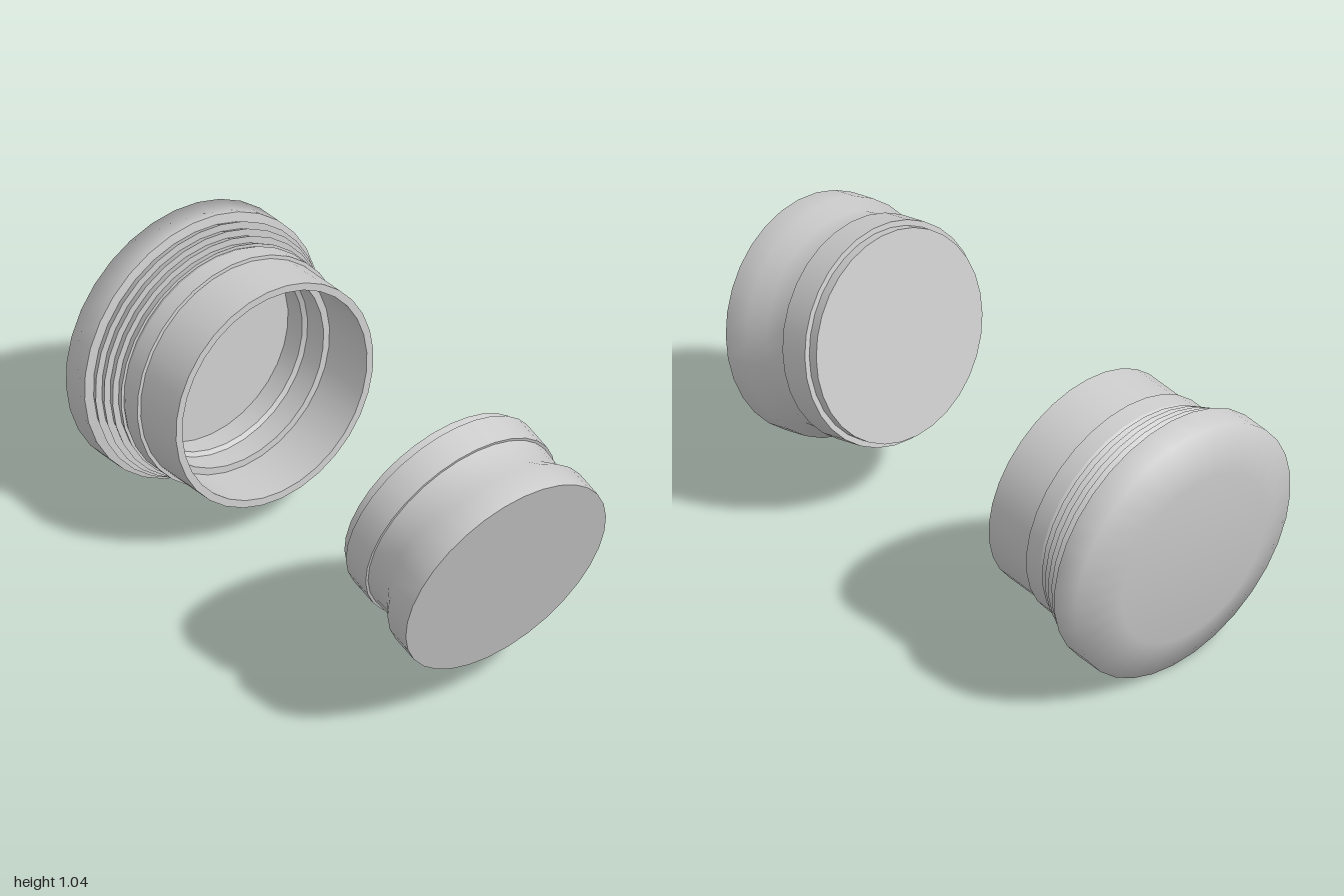
import * as THREE from 'three';

const SEGMENTS = 32;
const grey = new THREE.MeshStandardMaterial({ color: 0xcccccc });
grey.name = 'plain grey';

// Turned surface from [radius, distance along axis] points; smooth within one run
function turned(name, points) {
  const profile = points.map(([r, s]) => new THREE.Vector2(r, s));
  const mesh = new THREE.Mesh(new THREE.LatheGeometry(profile, SEGMENTS), grey);
  mesh.name = name;
  return mesh;
}

// One turned surface per straight step, so every edge stays sharp
function stepped(name, points) {
  const group = new THREE.Group();
  group.name = name;
  for (let i = 0; i < points.length - 1; i++) {
    group.add(turned(`${name}${i + 1}`, [points[i], points[i + 1]]));
  }
  return group;
}

// Cup: rounded base, flared ribs, sleeve and stepped bore
function createCup() {
  const cup = new THREE.Group();
  cup.name = 'cup';
  cup.add(turned('roundedBase', [[0, 0], [0.33, 0], [0.495, 0.055], [0.495, 0.16]]));

  // Ribs flare outwards, then drop back to the next smaller one
  const ribs = [[0.495, 0.16]];
  for (let i = 0; i < 4; i++) {
    const s = 0.165 + i * 0.03;
    ribs.push([0.461 - i * 0.0125, s], [0.475 - i * 0.0135, s + 0.03]);
  }
  ribs.push([0.423, 0.285]);
  cup.add(stepped('ribs', ribs));

  cup.add(stepped('sleeve', [[0.423, 0.285], [0.43, 0.3], [0.43, 0.37], [0.417, 0.371], [0.417, 0.57], [0.39, 0.57]]));
  cup.add(stepped('bore', [[0.39, 0.57], [0.39, 0.36], [0.365, 0.36], [0.365, 0.27], [0.35, 0.26], [0.35, 0.18], [0, 0.18]]));

  cup.position.set(-0.967, 0.484, 0);
  cup.rotation.z = THREE.MathUtils.degToRad(5.5 - 90);
  return cup;
}

// Plug: small end face, collar, waist and wide outer end
function createPlug() {
  const plug = new THREE.Group();
  plug.name = 'plug';
  plug.add(stepped('innerEnd', [[0, 0], [0.374, 0], [0.374, 0.036]]));
  plug.add(stepped('collar', [[0.374, 0.036], [0.394, 0.036], [0.394, 0.15], [0.384, 0.15]]));
  plug.add(turned('waist', [[0.384, 0.15], [0.379, 0.25], [0.417, 0.308], [0.417, 0.413]]));
  plug.add(turned('outerEnd', [[0.417, 0.413], [0, 0.413]]));

  plug.position.set(0.492, 0.663, 0);
  plug.rotation.z = THREE.MathUtils.degToRad(-13.8 - 90);
  return plug;
}

export function createModel() {
  const model = new THREE.Group();
  model.name = 'cupAndPlug';
  model.add(createCup(), createPlug());
  return model;
}
